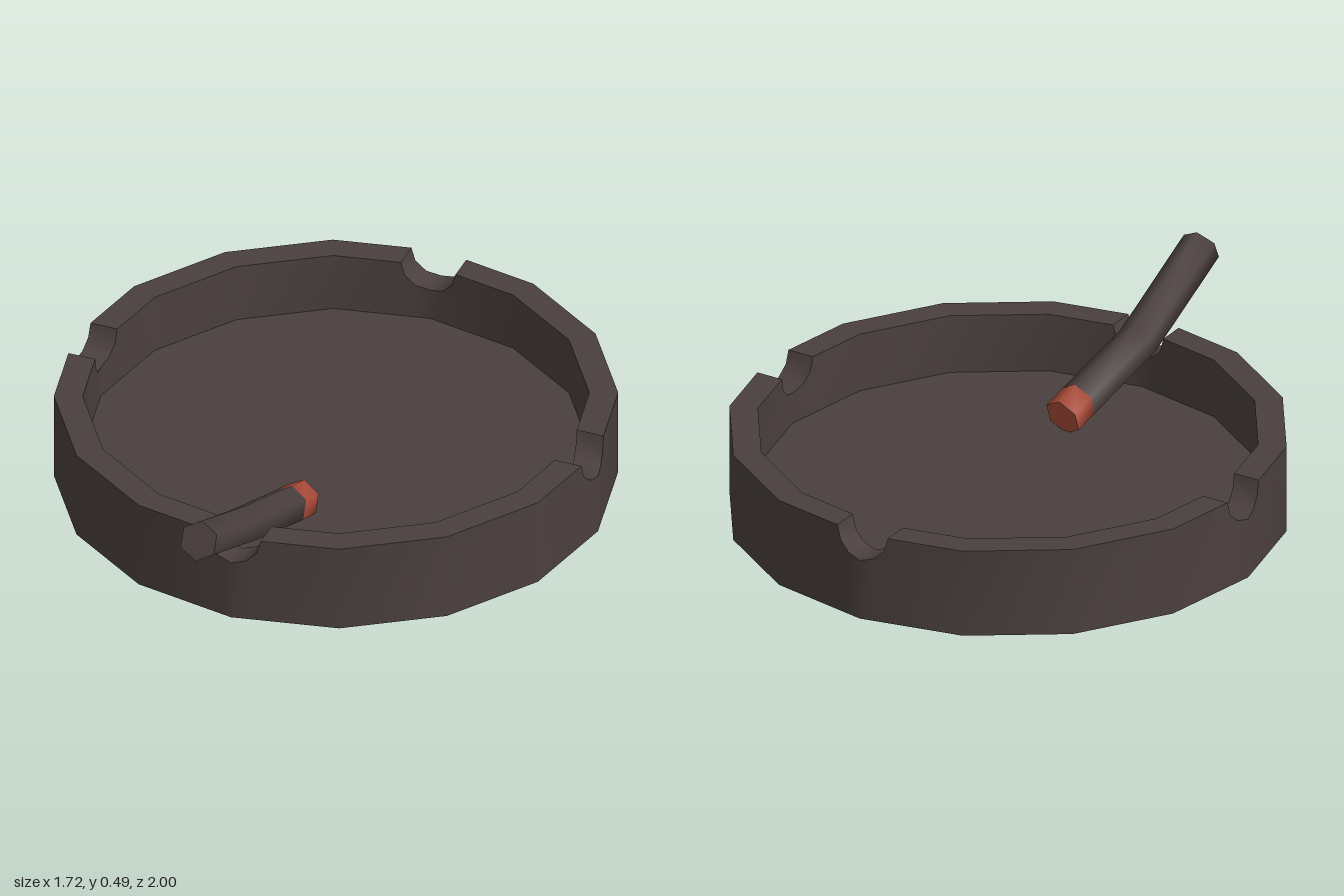
import * as THREE from 'three';
import { toCreasedNormals } from 'three/addons/utils/BufferGeometryUtils.js';

// Collects triangles and quads, then creases the normals
function surface(crease, fill) {
  const pos = [];
  const tri = (...pts) => pts.forEach((p) => pos.push(p.x, p.y, p.z));
  const quad = (a, b, c, d) => { tri(a, b, c); tri(a, c, d); };
  fill(tri, quad);
  const geo = new THREE.BufferGeometry();
  geo.setAttribute('position', new THREE.Float32BufferAttribute(pos, 3));
  return toCreasedNormals(geo, crease);
}

const CENTRE_Z = -0.14, OUTER = 0.86, INNER = 0.772;
const RIM = 0.288, FLOOR = 0.095, NOTCH = 0.09;

// 16-sided dish with a round notch in the rim at each quarter
function dishGeometry() {
  const stations = [];
  const slope = Math.tan(Math.PI / 16);
  const add = (turn, side, outer, inner, top) => {
    const at = ([x, z], y) => new THREE.Vector3(x, y, z)
      .applyAxisAngle(new THREE.Vector3(0, 1, 0), turn)
      .add(new THREE.Vector3(0, 0, CENTRE_Z));
    const o = [side * outer[0], outer[1]], i = [side * inner[0], inner[1]];
    stations.push({ base: at(o, 0), outer: at(o, top), inner: at(i, top), floor: at(i, FLOOR) });
  };
  for (let q = 0; q < 4; q++) {
    const turn = q * Math.PI / 2;
    // notch points
    for (let k = 0; k <= 6; k++) {
      const a = k * Math.PI / 6;
      const t = -NOTCH * Math.cos(a), drop = Math.abs(t) * slope;
      add(turn, 1, [t, OUTER - drop], [t, INNER - drop], RIM - NOTCH * Math.sin(a));
    }
    // plain corners up to the next notch
    for (let k = 1; k <= 3; k++) {
      const a = k * Math.PI / 8, s = Math.sin(a), c = Math.cos(a);
      add(turn, 1, [OUTER * s, OUTER * c], [INNER * s, INNER * c], RIM);
    }
  }
  return surface(0.6, (tri, quad) => {
    const under = new THREE.Vector3(0, 0, CENTRE_Z);
    const middle = new THREE.Vector3(0, FLOOR, CENTRE_Z);
    stations.forEach((a, i) => {
      const b = stations[(i + 1) % stations.length];
      quad(a.base, b.base, b.outer, a.outer);
      quad(a.outer, b.outer, b.inner, a.inner);
      quad(b.floor, a.floor, a.inner, b.inner);
      tri(middle, a.floor, b.floor);
      tri(under, b.base, a.base);
    });
  });
}

// Hexagonal ring around a path point, facing along the path
function hexRing(path, k, radius) {
  const prev = path[Math.max(k - 1, 0)], next = path[Math.min(k + 1, path.length - 1)];
  const dir = next.clone().sub(prev).normalize();
  const side = dir.clone().cross(new THREE.Vector3(0, 1, 0)).normalize();
  const up = side.clone().cross(dir);
  return Array.from({ length: 6 }, (_, j) => {
    const a = Math.PI / 2 + j * Math.PI / 3;
    return path[k].clone()
      .addScaledVector(side, radius * Math.cos(a))
      .addScaledVector(up, radius * Math.sin(a));
  });
}

// Tube through rings, closed at the chosen ends
function rodGeometry(rings, centres, capStart, capEnd) {
  return surface(1.2, (tri, quad) => {
    const last = rings.length - 1;
    for (let j = 0; j < 6; j++) {
      const n = (j + 1) % 6;
      for (let k = 0; k < last; k++) quad(rings[k][j], rings[k + 1][j], rings[k + 1][n], rings[k][n]);
      if (capStart) tri(centres[0], rings[0][j], rings[0][n]);
      if (capEnd) tri(centres[last], rings[last][n], rings[last][j]);
    }
  });
}

export function createModel() {
  const darkBrown = new THREE.MeshStandardMaterial({ name: 'darkBrown', color: 0x4a3f3e });
  const emberRed = new THREE.MeshStandardMaterial({ name: 'emberRed', color: 0xa84a38 });
  const model = new THREE.Group();
  model.name = 'ashtray';
  const add = (name, geo, mat) => {
    const mesh = new THREE.Mesh(geo, mat);
    mesh.name = name;
    model.add(mesh);
  };

  add('dish', dishGeometry(), darkBrown);

  // bent cigarette resting in the front notch
  const path = [
    [-0.005, 0.43, 0.972], [-0.005, 0.262, 0.6], [0.03, 0.172, 0.32], [0.038, 0.147, 0.238],
  ].map((p) => new THREE.Vector3(...p));
  const rings = path.map((_, k) => hexRing(path, k, 0.063));
  add('cigarette', rodGeometry(rings.slice(0, 3), path.slice(0, 3), true, false), darkBrown);
  add('ember', rodGeometry(rings.slice(2), path.slice(2), false, true), emberRed);
  return model;
}
